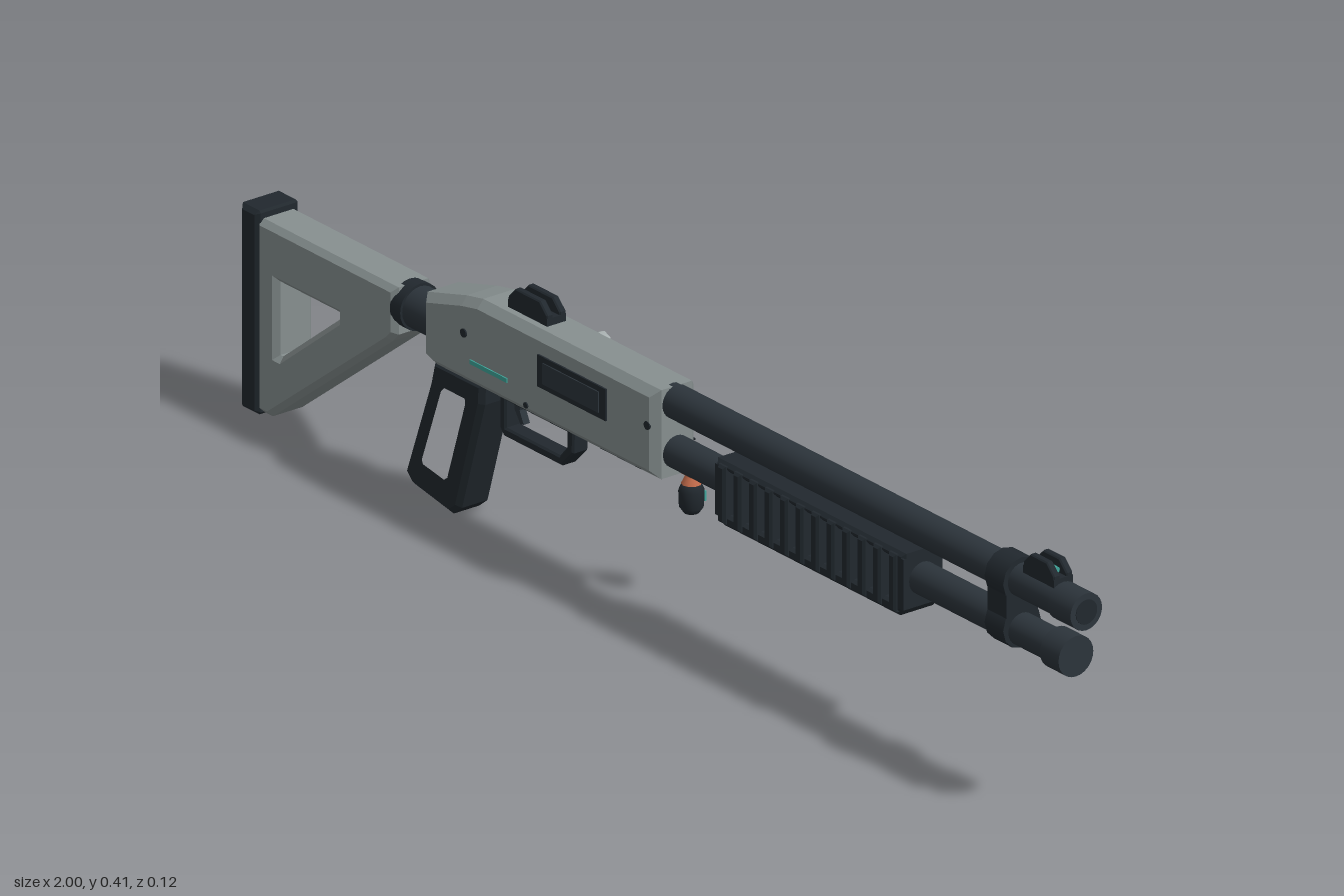
import * as THREE from 'three';

const CZ = 0.012; // centre plane of the body

const mat = (name, color, extra = {}) => {
  const m = new THREE.MeshStandardMaterial({ color, ...extra });
  m.name = name;
  return m;
};

export function createModel() {
  const root = new THREE.Group();
  root.name = 'pumpGun';
  const grey = mat('receiver grey', 0x879090);
  const dark = mat('dark steel', 0x2c343b);
  const black = mat('black polymer', 0x21282e);
  const light = mat('light metal', 0xa9b1b1);
  const orange = mat('orange', 0xc06a4a);
  const teal = mat('teal', 0x3fa79c);

  const add = (name, geo, m, x = 0, y = 0, z = 0) => {
    const mesh = new THREE.Mesh(geo, m);
    mesh.name = name;
    mesh.position.set(x, y, z);
    root.add(mesh);
    return mesh;
  };
  // box given by its x and y ranges, centre z and depth
  const box = (name, m, x0, x1, y0, y1, z, d) =>
    add(name, new THREE.BoxGeometry(x1 - x0, y1 - y0, d), m, (x0 + x1) / 2, (y0 + y1) / 2, z);
  // cylinder along x
  const rod = (name, m, x0, x1, y, r, z = CZ, n = 24) =>
    add(name, new THREE.CylinderGeometry(r, r, x1 - x0, n).rotateZ(-Math.PI / 2), m, (x0 + x1) / 2, y, z);
  // short cylinder along z
  const pin = (name, m, x, y, z, r, d, n = 14) =>
    add(name, new THREE.CylinderGeometry(r, r, d, n).rotateX(Math.PI / 2), m, x, y, z);
  const vec = (pts) => pts.map(([x, y]) => new THREE.Vector2(x, y));
  // side outline with chamfered edges and an optional hole
  const slab = (name, m, pts, half, bevel, hole, z = CZ) => {
    const shape = new THREE.Shape(vec(pts));
    if (hole) shape.holes.push(new THREE.Path(vec(hole)));
    const geo = new THREE.ExtrudeGeometry(shape, {
      depth: 2 * (half - bevel), bevelEnabled: bevel > 0, bevelThickness: bevel,
      bevelSize: bevel, bevelOffset: -bevel, bevelSegments: 1,
    });
    return add(name, geo.translate(0, 0, -(half - bevel)), m, 0, 0, z);
  };

  // receiver
  slab('receiver', grey, [[-0.555, 0.243], [-0.53, 0.235], [0.01, 0.235], [0.01, 0.38],
    [-0.42, 0.38], [-0.46, 0.372], [-0.555, 0.345]], 0.042, 0.013);
  box('receiverUnderside', black, -0.15, -0.05, 0.228, 0.237, CZ, 0.04);
  box('loadingFlap', orange, -0.1, -0.06, 0.226, 0.229, CZ, 0.02);

  // ejection port with bolt
  box('ejectionPort', black, -0.27, -0.105, 0.294, 0.346, CZ + 0.042, 0.006);
  box('bolt', dark, -0.255, -0.12, 0.303, 0.337, CZ + 0.045, 0.004);

  // details on both sides of the receiver
  for (const s of [1, -1]) {
    const z = CZ + s * 0.0425;
    box('tealStripe', teal, -0.435, -0.345, 0.273, 0.28, z, 0.003);
    pin('receiverPin', black, -0.45, 0.318, z, 0.007, 0.004);
    pin('receiverPin', black, -0.008, 0.32, CZ + s * 0.04, 0.007, 0.006);
    pin('triggerPin', black, -0.3, 0.252, z, 0.005, 0.003);
  }
  box('seam', black, -0.33, 0, 0.276, 0.279, CZ - 0.0425, 0.002);

  // charging rail on the back side
  box('railPlate', light, -0.4, -0.25, 0.33, 0.354, CZ - 0.046, 0.01);
  box('railSlot', dark, -0.37, -0.28, 0.337, 0.347, CZ - 0.052, 0.004);
  for (const x of [-0.402, -0.248]) {
    pin('railKnob', light, x, 0.342, -0.041, 0.02, 0.025, 8);
    pin('railScrew', dark, x, 0.342, -0.055, 0.009, 0.004, 6);
  }

  // barrel and magazine tube
  rod('barrel', dark, 0, 0.95, 0.354, 0.027);
  rod('muzzle', dark, 0.945, 1, 0.354, 0.03);
  rod('bore', black, 0.99, 1.001, 0.354, 0.02);
  rod('magazineTubeRear', dark, 0, 0.17, 0.273, 0.026);
  rod('magazineTubeFront', dark, 0.58, 0.94, 0.273, 0.026);
  rod('magazineCap', dark, 0.93, 0.975, 0.273, 0.033);

  // clamp joining barrel and tube
  rod('clampTop', black, 0.8, 0.845, 0.354, 0.036, CZ, 12);
  rod('clampBottom', black, 0.8, 0.845, 0.278, 0.036, CZ, 12);
  box('clampBody', black, 0.8, 0.845, 0.28, 0.354, CZ, 0.06);

  // slotted pump handle
  const cut = (y0, y1) => [[0.15, y0], [0.605, y0], [0.605, y1], [0.15, y1]];
  slab('pumpTop', black, cut(0.305, 0.32), 0.037, 0.006);
  slab('pumpBottom', black, [[0.15, 0.235], [0.165, 0.215], [0.59, 0.215], [0.605, 0.235]], 0.037, 0.006);
  box('pumpRearEnd', black, 0.15, 0.178, 0.229, 0.312, CZ, 0.074);
  box('pumpFrontEnd', black, 0.582, 0.605, 0.229, 0.312, CZ, 0.074);
  for (let i = 0; i < 12; i++) {
    const x = 0.17 + i * 0.0375;
    slab('pumpRib', black, [[x - 0.009, 0.222], [x + 0.009, 0.222], [x + 0.009, 0.316], [x - 0.009, 0.316]], 0.043, 0.004);
  }

  // sights: base with two upright walls
  const sight = (name, x0, x1, y) => {
    const d = 0.018;
    box(name + 'Base', black, x0, x1, y, y + 0.013, CZ, 0.036);
    for (const s of [1, -1]) {
      slab(name + 'Wall', black, [[x0, y], [x1, y], [x1, y + d], [x1 - 0.018, y + 0.036],
        [x0 + 0.018, y + 0.036], [x0, y + d]], 0.006, 0.002, null, CZ + s * 0.012);
    }
  };
  sight('rearSight', -0.375, -0.28, 0.379);
  sight('frontSight', 0.87, 0.945, 0.378);
  rod('frontSightDot', teal, 0.885, 0.93, 0.398, 0.005, CZ, 8);

  // trigger and guard
  slab('triggerGuard', black, [[-0.4, 0.238], [-0.4, 0.175], [-0.39, 0.163], [-0.25, 0.163],
    [-0.222, 0.192], [-0.22, 0.238]], 0.015, 0.003,
  [[-0.385, 0.222], [-0.385, 0.178], [-0.255, 0.178], [-0.238, 0.197], [-0.238, 0.222]]);
  slab('trigger', dark, [[-0.375, 0.235], [-0.355, 0.235], [-0.362, 0.212], [-0.352, 0.192],
    [-0.36, 0.19], [-0.374, 0.21]], 0.006, 0);

  // open pistol grip
  slab('grip', black, [[-0.54, 0.24], [-0.42, 0.24], [-0.422, 0.205], [-0.478, 0.018], [-0.498, 0.002],
    [-0.592, 0.018], [-0.61, 0.036], [-0.55, 0.2]], 0.032, 0.008,
  [[-0.515, 0.212], [-0.455, 0.212], [-0.452, 0.195], [-0.497, 0.055], [-0.51, 0.046], [-0.568, 0.055],
    [-0.574, 0.068], [-0.526, 0.2]]);

  // stock
  rod('stockTube', dark, -0.64, -0.545, 0.293, 0.034);
  rod('stockCollar', black, -0.635, -0.61, 0.293, 0.038);
  slab('stockFrame', grey, [[-0.96, 0.012], [-0.93, 0.012], [-0.64, 0.235], [-0.626, 0.25],
    [-0.626, 0.327], [-0.96, 0.327]], 0.037, 0.009,
  [[-0.912, 0.238], [-0.765, 0.238], [-0.765, 0.228], [-0.905, 0.118], [-0.912, 0.118]]);
  slab('buttPad', black, [[-0.995, 0.008], [-0.955, 0.008], [-0.952, 0.012], [-0.952, 0.336],
    [-0.955, 0.34], [-0.995, 0.34]], 0.041, 0.007);
  for (let i = 0; i < 8; i++) {
    const y = 0.03 + i * 0.038;
    box('buttPadRib', dark, -1, -0.99, y, y + 0.02, CZ, 0.064);
  }

  // hanging charm
  const charmZ = -0.038;
  add('charmLoop', new THREE.TorusGeometry(0.011, 0.003, 6, 14), light, -0.018, 0.226, charmZ + 0.006);
  add('charmCap', new THREE.CylinderGeometry(0.009, 0.016, 0.014, 10), orange, -0.018, 0.205, charmZ);
  const charm = [[0, 0.15], [0.012, 0.151], [0.019, 0.161], [0.02, 0.187], [0.014, 0.2], [0, 0.2]];
  add('charmBody', new THREE.LatheGeometry(vec(charm), 12), black, -0.018, 0, charmZ);
  box('charmFace', teal, -0.026, -0.01, 0.166, 0.182, charmZ - 0.02, 0.004);
  box('charmBracket', orange, -0.03, -0.006, 0.212, 0.218, charmZ + 0.003, 0.014);

  return root;
}
